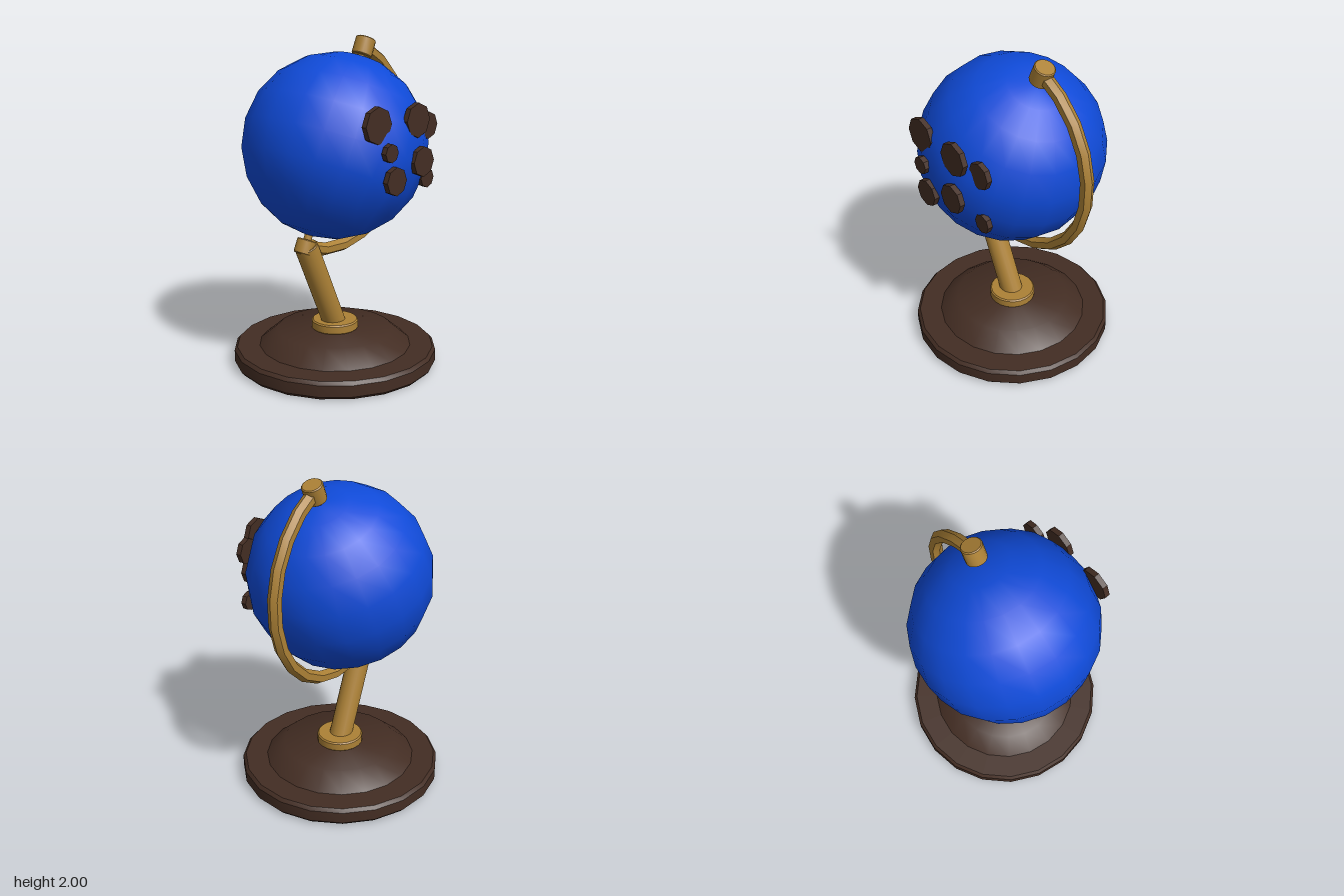
import * as THREE from 'three';
import { toCreasedNormals } from 'three/addons/utils/BufferGeometryUtils.js';

const TILT = THREE.MathUtils.degToRad(23.5);
const CX = -0.02, CY = 1.355, RADIUS = 0.56;

export function createModel() {
  const model = new THREE.Group();
  model.name = 'deskGlobe';

  const material = (name, color) => {
    const m = new THREE.MeshStandardMaterial({ color });
    m.name = name;
    return m;
  };
  const blue = material('oceanBlue', 0x0f4ad8);
  const brown = material('darkWood', 0x432d23);
  const gold = material('brass', 0xac8136);

  const add = (parent, name, geometry, mat, x = 0, y = 0, z = 0, tilt = 0) => {
    const mesh = new THREE.Mesh(geometry, mat);
    mesh.name = name;
    mesh.position.set(x, y, z);
    mesh.rotation.z = tilt;
    parent.add(mesh);
    return mesh;
  };

  // Turned solid from [radius, height] pairs, listed bottom to top
  const turned = (points, sides = 20, crease = 0.6) => toCreasedNormals(
    new THREE.LatheGeometry(points.map(([r, y]) => new THREE.Vector2(r, y)), sides), crease);

  // Closed cylinder standing on its origin, with bevelled rims
  const drum = (r, h, bevel, sides) => turned(
    [[0, 0], [r - bevel, 0], [r, bevel], [r, h - bevel], [r - bevel, h], [0, h]], sides);

  // Base
  add(model, 'baseDisc', turned(
    [[0, 0], [0.612, 0], [0.63, 0.02], [0.63, 0.09], [0.612, 0.11], [0, 0.11]]), brown, CX);
  add(model, 'basePlinth', turned(
    [[0.475, 0.108], [0.36, 0.205], [0, 0.207]], 20, 0.75), brown, CX);
  add(model, 'collar', drum(0.145, 0.06, 0.008, 20), gold, CX, 0.203);

  // Leaning post
  add(model, 'post', drum(0.072, 0.62, 0.005, 16), gold, -0.015, 0.215, 0, TILT + 0.005);

  // Everything that turns about the tilted axis, centred on the globe
  const tilted = new THREE.Group();
  tilted.name = 'tiltedAssembly';
  tilted.position.set(CX, CY, 0);
  tilted.rotation.z = -TILT;
  model.add(tilted);

  add(tilted, 'globe', new THREE.SphereGeometry(RADIUS, 20, 10), blue);
  add(tilted, 'meridianArm',
    toCreasedNormals(new THREE.TorusGeometry(0.63, 0.04, 6, 12, Math.PI), 0.6),
    gold, 0, 0, 0, -Math.PI / 2);
  add(tilted, 'topCap', drum(0.062, 0.11, 0.006, 16), gold, 0, 0.572);
  add(tilted, 'topPin', drum(0.025, 0.1, 0.001, 12), gold, 0, 0.53);
  add(tilted, 'bottomCap', drum(0.06, 0.09, 0.006, 16), gold, 0, -0.675);
  add(tilted, 'bottomPin', drum(0.025, 0.1, 0.001, 12), gold, 0, -0.63);

  // Land patches: octagonal plates facing forward [x, y, z, radius]
  const lands = new THREE.Group();
  lands.name = 'landPatches';
  model.add(lands);
  [
    [-0.205, 1.55, 0.503, 0.105],
    [0.11, 1.55, 0.52, 0.1],
    [0.267, 1.5, 0.467, 0.08],
    [-0.15, 1.397, 0.552, 0.053],
    [-0.105, 1.233, 0.552, 0.082],
    [0.127, 1.315, 0.552, 0.088],
    [0.277, 1.185, 0.458, 0.058],
  ].forEach(([x, y, z, r], i) => {
    const plate = toCreasedNormals(
      new THREE.CylinderGeometry(r, r, 0.033, 8).rotateX(Math.PI / 2), 0.3);
    add(lands, `landPatch${i + 1}`, plate, brown, x, y, z);
  });

  return model;
}
